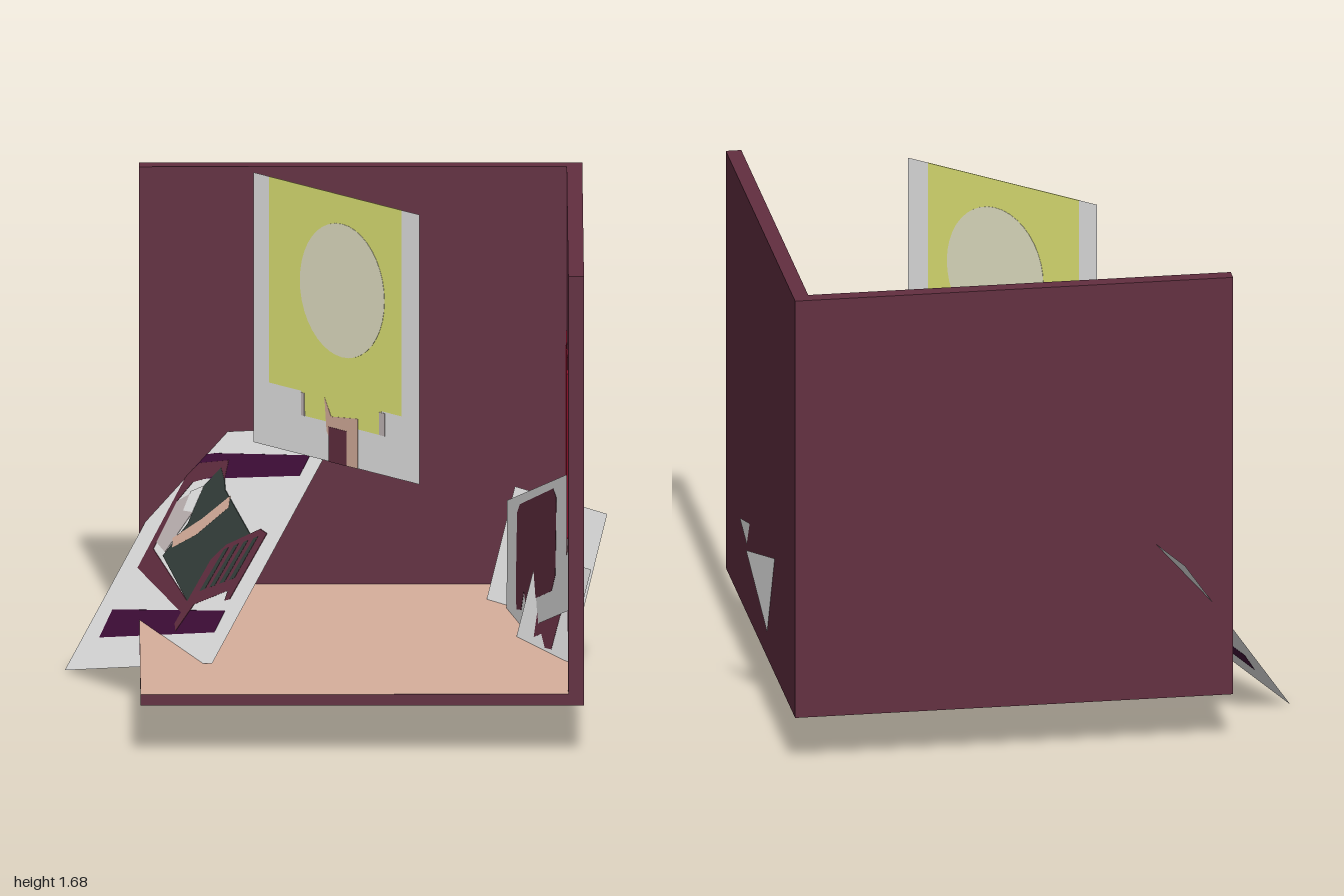
import * as THREE from 'three';

const mat = (name, color, side = THREE.FrontSide) => {
  const m = new THREE.MeshStandardMaterial({ color, side });
  m.name = name;
  return m;
};
const maroon = mat('maroon', 0x622e40);
const tan = mat('tan', 0xd7af9c);
const white = mat('white', 0xffffff, THREE.DoubleSide);
const yellow = mat('yellow', 0xfaff84);
const cream = mat('cream', 0xfffddd);
const purple = mat('purple', 0x410e3a);
const green = mat('dark green', 0x333e3a);
const red = mat('red', 0x93122d);
const grey = mat('grey', 0xc3b8b8);

const toShape = (pts) => new THREE.Shape(pts.map(([x, y]) => new THREE.Vector2(x, y)));
const rect = (x0, y0, x1, y1) => [[x0, y0], [x1, y0], [x1, y1], [x0, y1]];
const ellipse = (cx, cy, rx, ry, n = 40) => Array.from({ length: n }, (_, i) => {
  const a = (i / n) * Math.PI * 2;
  return [cx + rx * Math.cos(a), cy + ry * Math.sin(a)];
});

// Depth of a tilted plane at (x, y), given three of its corners
function planeDepth(a, b, c) {
  const n = new THREE.Vector3(...b).sub(new THREE.Vector3(...a))
    .cross(new THREE.Vector3(...c).sub(new THREE.Vector3(...a)));
  return (x, y) => a[2] - (n.x * (x - a[0]) + n.y * (y - a[1])) / n.z;
}

// Slides a geometry drawn in x, y onto the tilted plane
function drape(geo, depth) {
  const p = geo.attributes.position;
  for (let i = 0; i < p.count; i++) p.setZ(i, p.getZ(i) + depth(p.getX(i), p.getY(i)));
  geo.computeVertexNormals();
  return geo;
}

// Thin plate showing on both sides of the plane; higher layers are thicker
function plate(name, pts, material, depth, layer = 1) {
  const t = 0.0024 * layer;
  const geo = new THREE.ExtrudeGeometry(toShape(pts), { depth: t, bevelEnabled: false });
  geo.translate(0, 0, -t / 2);
  const mesh = new THREE.Mesh(drape(geo, depth), material);
  mesh.name = name;
  return mesh;
}

// White card from its bottom left, bottom right and top left corners, with painted details
function card(name, bl, br, tl, details) {
  const g = new THREE.Group();
  g.name = name;
  const depth = planeDepth(bl, br, tl);
  const tr = br.map((v, i) => v + tl[i] - bl[i]);
  const sheet = new THREE.Mesh(drape(new THREE.ShapeGeometry(toShape([bl, br, tr, tl])), depth), white);
  sheet.name = name + 'Sheet';
  g.add(sheet);
  for (const [part, material, layer, pts] of details) g.add(plate(part, pts, material, depth, layer));
  return g;
}

function room() {
  const g = new THREE.Group();
  g.name = 'room';
  const side = Math.SQRT2, t = 0.05, y0 = 0.17, y1 = 0.207, top = 1.585;
  const add = (name, w, h, d, x, y, z, material) => {
    const m = new THREE.Mesh(new THREE.BoxGeometry(w, h, d), material);
    m.position.set(x, y, z);
    m.name = name;
    g.add(m);
  };
  add('floor', side, y1 - y0, side, 0, (y0 + y1) / 2, 0, [maroon, maroon, tan, maroon, maroon, maroon]);
  const h = top - y1, cy = (top + y1) / 2;
  add('rightBackWall', side, h, t, 0, cy, -side / 2 + t / 2, maroon);
  add('leftBackWall', t, h, side - t, side / 2 - t / 2, cy, t / 2, maroon);
  g.rotation.y = Math.PI / 4;
  return g;
}

export function createModel() {
  const model = new THREE.Group();
  model.name = 'bedroom';
  model.add(room());

  // Hanging lamp card
  model.add(card('lampCard', [-0.405, 0.79, 0.08], [0.34, 0.79, 0.08], [-0.405, 1.68, 0.08], [
    ['lampShade', yellow, 1, [[-0.335, 1], [-0.19, 1], [-0.17, 0.92], [0.16, 0.92], [0.17, 1], [0.26, 1], [0.26, 1.68], [-0.335, 1.68]]],
    ['lampGlow', cream, 2, ellipse(-0.005, 1.365, 0.19, 0.22)],
    ['shadeTickRight', grey, 2, rect(-0.19, 0.92, -0.175, 0.995)],
    ['shadeTickLeft', grey, 2, rect(0.16, 0.92, 0.185, 0.995)],
    ['lampHand', tan, 2, [[-0.075, 0.89], [-0.085, 1], [-0.055, 0.94], [0.065, 0.955], [0.065, 0.79], [-0.02, 0.79]]],
    ['lampNeck', maroon, 3, rect(-0.065, 0.79, 0.015, 0.905)],
  ]));

  // Bed card with sleeper
  const slats = [0, 1, 2, 3].map((i) => {
    const x = -0.39 + i * 0.046, y = 0.35 + i * 0.021;
    return ['footboardGap', green, 4, [[x, y], [x + 0.026, y + 0.012], [x + 0.026, y + 0.13], [x + 0.006, y + 0.12]]];
  });
  model.add(card('bedCard', [-0.93, 0, 0.406], [-0.075, 0.22, 0.6], [-0.962, 0.66, -0.21], [
    ['upperStripe', purple, 1, [[-0.855, 0.623], [-0.765, 0.65], [-0.193, 0.778], [-0.187, 0.722], [-0.855, 0.555]]],
    ['lowerStripe', purple, 1, [[-0.85, 0.19], [-0.176, 0.345], [-0.166, 0.286], [-0.834, 0.115]]],
    ['bedFrame', maroon, 2, [[-0.86, 0.57], [-0.82, 0.61], [-0.66, 0.655], [-0.62, 0.61], [-0.7, 0.6], [-0.8, 0.56],
      [-0.83, 0.5], [-0.81, 0.37], [-0.42, 0.31], [-0.42, 0.28], [-0.84, 0.31]]],
    ['pillow', grey, 2, [[-0.83, 0.5], [-0.75, 0.55], [-0.7, 0.5], [-0.73, 0.38], [-0.83, 0.39]]],
    ['blanket', green, 2.5, [[-0.72, 0.57], [-0.68, 0.63], [-0.62, 0.61], [-0.58, 0.59], [-0.2, 0.52], [-0.2, 0.44],
      [-0.42, 0.31], [-0.73, 0.37], [-0.69, 0.47]]],
    ['face', white, 3, [[-0.78, 0.54], [-0.72, 0.57], [-0.7, 0.5], [-0.76, 0.49]]],
    ['arm', tan, 3, [[-0.73, 0.42], [-0.62, 0.5], [-0.53, 0.585], [-0.5, 0.56], [-0.6, 0.46], [-0.7, 0.4]]],
    ['footboard', maroon, 3, [[-0.43, 0.25], [-0.43, 0.43], [-0.39, 0.48], [-0.24, 0.56], [-0.185, 0.56], [-0.185, 0.375],
      [-0.21, 0.365], [-0.225, 0.39], [-0.38, 0.315], [-0.4, 0.235]]],
    ...slats,
  ]));

  // Wide tilted card
  model.add(card('wideCard', [0.1, 0.12, -0.556], [0.8, 0.42, -0.13], [-0.01, 0.53, -0.67], [
    ['widePatch', maroon, 1, [[0.12, 0.53], [0.145, 0.565], [0.52, 0.73], [0.565, 0.715], [0.62, 0.48], [0.59, 0.42],
      [0.36, 0.32], [0.305, 0.28], [0.267, 0.32], [0.25, 0.255], [0.195, 0.24], [0.17, 0.3]]],
  ]));

  // Small square cards, leaning back through the wall
  model.add(card('cornerCard', [-0.05, 0.13, -0.59], [0.4, 0.13, -0.555], [-0.035, 0.56, -0.73], [
    ['cornerPatch', maroon, 1, rect(0.12, 0.16, 0.26, 0.45)],
  ]));
  model.add(card('sideCard', [0.34, 0.14, -0.335], [0.68, 0.17, -0.235], [0.365, 0.47, -0.43], [
    ['sidePatch', maroon, 1, [[0.45, 0.23], [0.49, 0.25], [0.53, 0.215], [0.57, 0.22], [0.58, 0.33], [0.62, 0.42], [0.45, 0.4], [0.44, 0.3]]],
  ]));

  // Red hanging on the wall
  model.add(plate('redHanging', [[0.14, 0.48], [0.14, 0.8], [0.19, 1.05], [0.23, 1.13], [0.36, 1.13], [0.55, 1.18], [0.62, 1.2],
    [0.795, 1.2], [0.79, 1.05], [0.77, 0.85], [0.765, 0.65], [0.7, 0.5]], red, (x) => x - 0.926, 2));
  return model;
}
